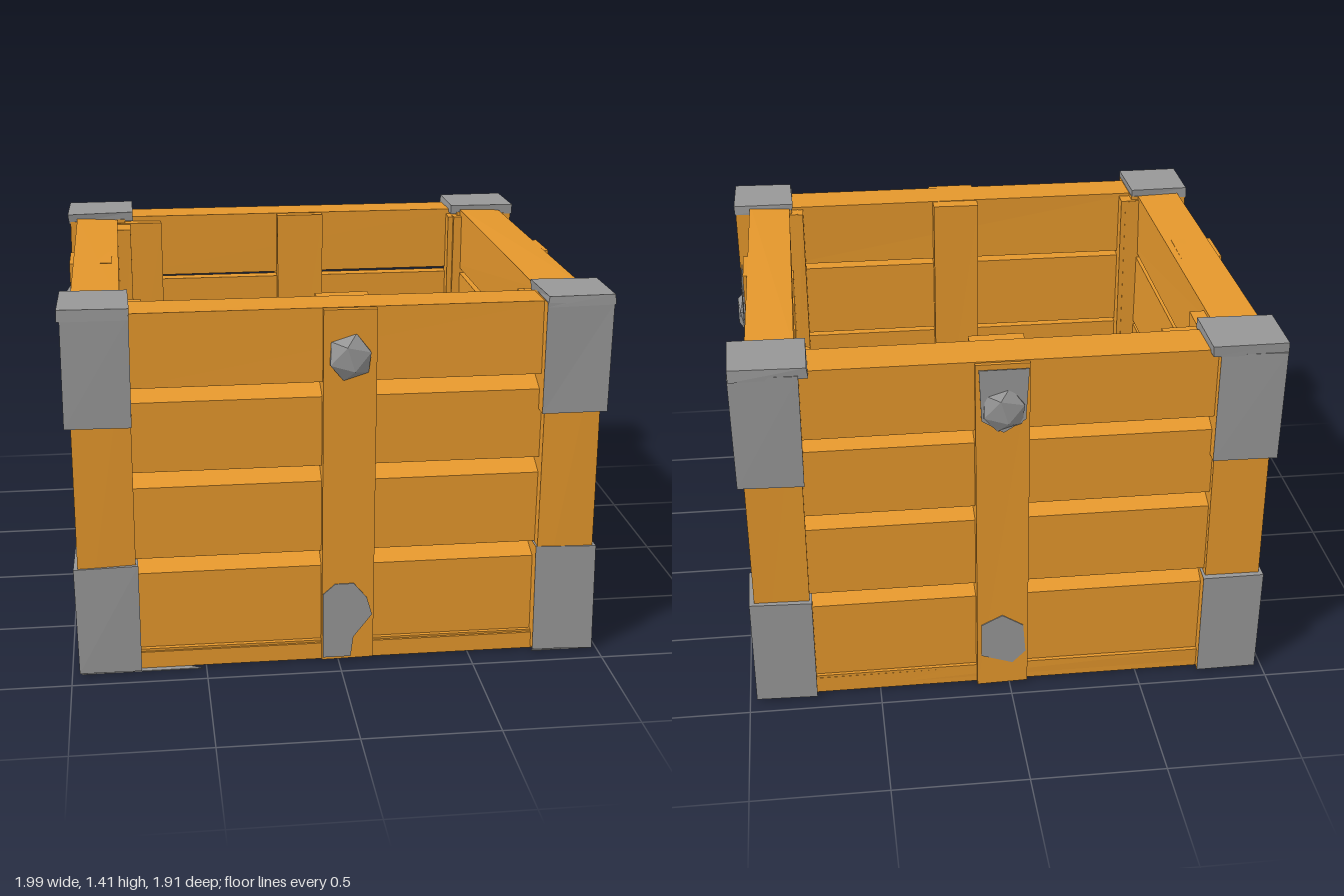
import * as THREE from 'three';

const wood = new THREE.MeshStandardMaterial({ color: 0xe4972c, flatShading: true });
wood.name = 'orange wood';
const metal = new THREE.MeshStandardMaterial({ color: 0x979797, flatShading: true });
metal.name = 'grey metal';

export function createModel() {
  const crate = new THREE.Group();
  crate.name = 'crate';

  // Seeded wobble for hand-cut edges
  let seed = 7;
  const wobble = (amount) => {
    seed = (seed * 16807) % 2147483647;
    return (seed / 2147483647 - 0.5) * 2 * amount;
  };

  function add(parent, name, geometry, material) {
    const mesh = new THREE.Mesh(geometry, material);
    mesh.name = name;
    parent.add(mesh);
    return mesh;
  }

  // Box between limits, with each shared corner shifted a little
  function block(parent, name, material, [x0, x1], [y0, y1], [z0, z1], amount = 0.005) {
    const geometry = new THREE.BoxGeometry(x1 - x0, y1 - y0, z1 - z0);
    geometry.translate((x0 + x1) / 2, (y0 + y1) / 2, (z0 + z1) / 2);
    const shifts = Array.from({ length: 8 }, () => [wobble(amount), wobble(amount), wobble(amount)]);
    const p = geometry.attributes.position;
    for (let i = 0; i < p.count; i++) {
      const x = p.getX(i), y = p.getY(i), z = p.getZ(i);
      const s = shifts[(x > (x0 + x1) / 2 ? 1 : 0) + (y > (y0 + y1) / 2 ? 2 : 0) + (z > (z0 + z1) / 2 ? 4 : 0)];
      p.setXYZ(i, x + s[0], y + s[1], z + s[2]);
    }
    geometry.computeVertexNormals();
    return add(parent, name, geometry, material);
  }

  // Plank running along x with a sloping ledge along its top outer edge
  function plank(parent, name, half, y0, y1, outer, inner) {
    const points = [[inner, y0], [outer, y0], [outer, y1 - 0.045], [outer - 0.1, y1], [inner, y1]];
    const shape = new THREE.Shape(points.map(([z, y]) => new THREE.Vector2(-z, y)));
    const geometry = new THREE.ExtrudeGeometry(shape, { depth: half * 2, bevelEnabled: false });
    geometry.translate(0, 0, -half);
    geometry.rotateY(Math.PI / 2);
    add(parent, name, geometry, wood);
  }

  // Thin metal plate from an outline
  function patch(parent, name, points) {
    const shape = new THREE.Shape(points.map(([x, y]) => new THREE.Vector2(x, y)));
    return add(parent, name, new THREE.ExtrudeGeometry(shape, { depth: 0.004, bevelEnabled: false }), metal);
  }

  // Each wall is made facing +z, then turned into place
  const walls = [
    { name: 'front', turn: 0, out: 0.89, post: 0.915, c: 0.035, half: 0.78, lift: 0, inside: 0.66, bulge: 0.5 },
    { name: 'left', turn: Math.PI / 2, out: 0.93, post: 0.95, c: -0.045, half: 0.74, lift: 0.02, bulge: 0.35, plated: true },
    { name: 'back', turn: Math.PI, out: 0.91, post: 0.93, c: -0.03, half: 0.78, lift: 0.01, inside: 0.69, bulge: 0.4, plated: true },
    { name: 'right', turn: -Math.PI / 2, out: 0.95, post: 0.965, c: 0.04, half: 0.74, lift: 0.01, bulge: 0.3 },
  ];
  for (const { name, turn, out, post, c, half, lift, inside, bulge, plated } of walls) {
    const wall = new THREE.Group();
    wall.name = name + 'Wall';
    wall.rotation.y = turn;
    crate.add(wall);

    block(wall, 'bottomRail', wood, [-half, half], [0.008, 0.08], [out - 0.17, out], 0.003);
    [[0.07, 0.425], [0.44, 0.762], [0.778, 1.088]].forEach(([y0, y1], i) =>
      plank(wall, 'plank' + (i + 1), half, y0 + (i ? lift : 0), y1 + lift, out - 0.015, out - 0.175));
    block(wall, 'topRail', wood, [-half, half], [1.105 + lift, 1.38 + lift / 2], [out - 0.17, out]);
    block(wall, 'middlePost', wood, [c - 0.098, c + 0.098], [0.008, 1.376 + lift / 2],
      [inside ?? out - 0.15, post], 0.004);

    // Metal fittings on the middle post
    const lower = name === 'front'
      ? [[-0.095, 0.02], [0.01, 0.02], [0.02, 0.1], [0.09, 0.19], [0.07, 0.26], [0.02, 0.32], [-0.05, 0.32], [-0.095, 0.28]]
      : [[-0.08, 0.14], [0.04, 0.1], [0.09, 0.15], [0.08, 0.27], [0, 0.32], [-0.08, 0.28]];
    patch(wall, 'lowerPatch', lower).position.set(c, 0, post + 0.002);
    if (plated) {
      const upper = [[0, 1.11], [0.08, 1.16], [0.09, 1.36], [-0.09, 1.36], [-0.08, 1.16]];
      patch(wall, 'upperPatch', upper).position.set(c, 0, post + 0.002);
    }
    const rivet = add(wall, 'rivet', new THREE.IcosahedronGeometry(0.09, 0), metal);
    rivet.position.set(c, 1.2, post);
    rivet.scale.z = bulge;
    rivet.rotation.z = 0.3;
  }

  // Corner posts: metal on the outer faces, wood on the faces turned inward
  for (const sx of [-1, 1]) {
    for (const sz of [-1, 1]) {
      const span = (s, a, b) => (s > 0 ? [a, b] : [-b, -a]);
      const corner = new THREE.Group();
      corner.name = (sz > 0 ? 'front' : 'back') + (sx > 0 ? 'Left' : 'Right') + 'Corner';
      crate.add(corner);
      const zIn = sz > 0 ? 0.675 : 0.695;
      const zOut = sz > 0 ? 0.935 : 0.945;
      const sides = [sx > 0 ? metal : wood, sx > 0 ? wood : metal, metal, metal,
        sz > 0 ? metal : wood, sz > 0 ? wood : metal];
      block(corner, 'cornerPost', wood, span(sx, 0.75, 0.96), [0.01, 1.37], span(sz, 0.695, 0.92));
      block(corner, 'lowerCap', sides, span(sx, 0.745, 0.975), [0.012, 0.435], span(sz, zIn, zOut - 0.005));
      block(corner, 'upperCap', sides, span(sx, 0.745, 0.988), [sz > 0 ? 0.97 : 0.945, 1.38], span(sz, zIn, zOut));
      block(corner, 'capLid', metal, span(sx, sz > 0 ? 0.745 : 0.715, 0.992), [1.37, 1.41],
        span(sz, zIn, zOut + 0.002), 0.004);

      // Inner battens, wider in one corner
      const wide = sx < 0 && sz < 0;
      block(corner, 'innerBattenAcross', wood, span(sx, wide ? 0.59 : 0.7, 0.8), [0.05, 1.365],
        span(sz, zIn - 0.02, 0.76), 0.004);
      block(corner, 'innerBattenAlong', wood, span(sx, 0.72, 0.82), [0.05, 1.365],
        span(sz, wide ? 0.54 : 0.655, 0.76), 0.004);

      // Metal corner under the floor
      const legX = sx < 0 && sz > 0 ? 0.45 : 0.22;
      const outline = [[sx * 0.965, sz * 0.92], [sx * (0.965 - legX), sz * 0.92], [sx * 0.965, sz * 0.7]];
      patch(corner, 'underCorner', outline.map(([x, z]) => [x, -z])).rotation.x = -Math.PI / 2;
    }
  }

  // Floor panel
  block(crate, 'floor', wood, [-0.945, 0.945], [0.005, 0.07], [-0.91, 0.9], 0);
  return crate;
}
